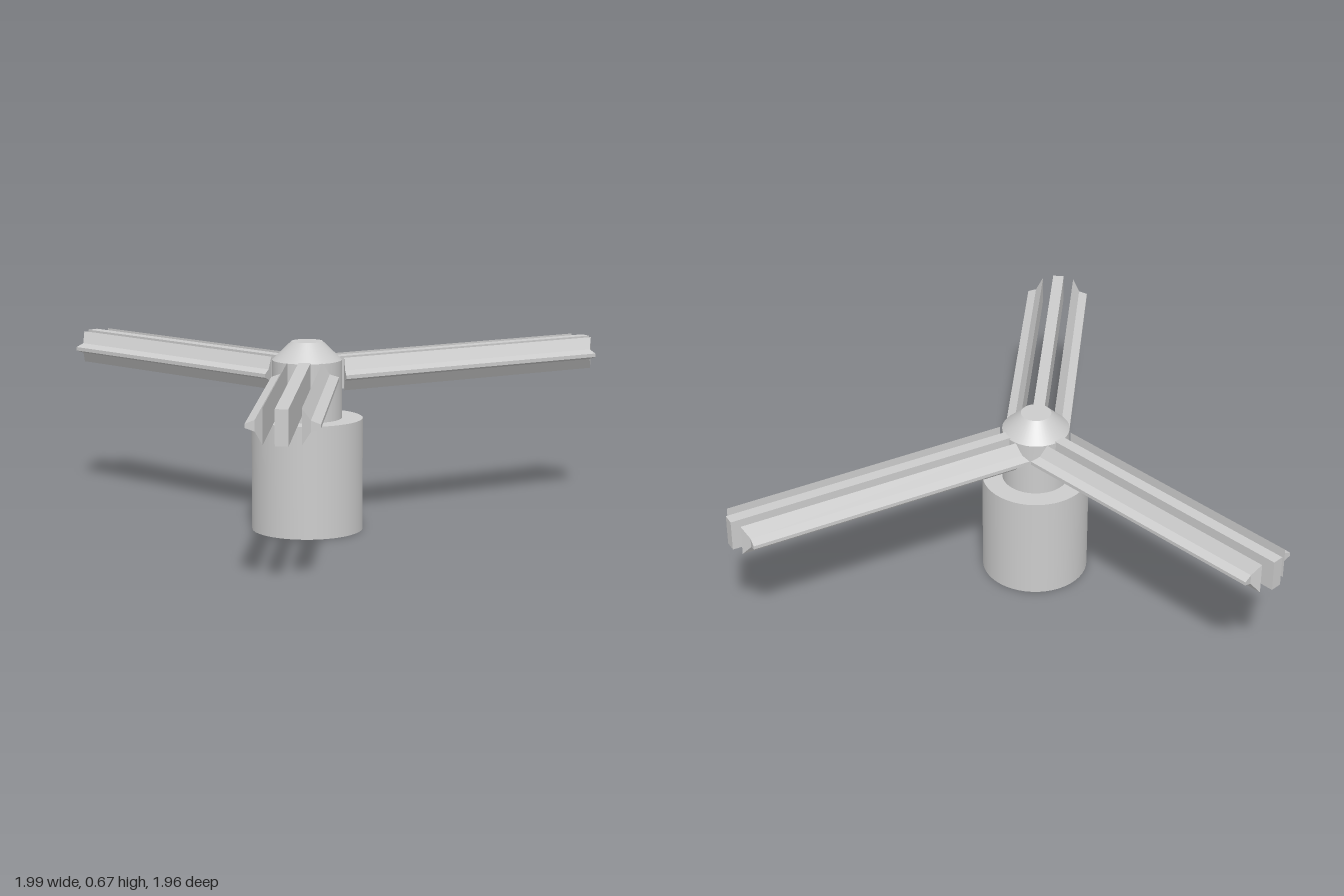
import * as THREE from 'three';

const material = new THREE.MeshStandardMaterial({ color: 0xcccccc });
const flatMaterial = new THREE.MeshStandardMaterial({ color: 0xcccccc, flatShading: true });
const LOW = 0.49, HIGH = 0.605;

// Upright round section between two heights
function drum(name, rTop, rBottom, y0, y1) {
  const mesh = new THREE.Mesh(new THREE.CylinderGeometry(rTop, rBottom, y1 - y0, 48), material);
  mesh.name = name;
  mesh.position.y = (y0 + y1) / 2;
  return mesh;
}

// Finned side rail; its outer ridge is set back towards the hub at both ends
function sideRail(side, length) {
  const inner = 0.06, ridge = 0.117;
  const profile = [
    [inner, LOW], [0.086, 0.528], [ridge, 0.539],
    [ridge, 0.552], [0.086, 0.564], [inner, HIGH],
  ];
  const shape = new THREE.Shape(profile.map(([u, y]) => new THREE.Vector2(side * u, y)));
  const geometry = new THREE.ExtrudeGeometry(shape, { depth: 1, bevelEnabled: false });
  const p = geometry.attributes.position;
  for (let i = 0; i < p.count; i++) {
    const t = (Math.abs(p.getX(i)) - inner) / (ridge - inner);
    const start = 0.115 - 0.025 * t;
    const end = length - 0.02 - 0.05 * Math.min(t, 0.5) + 0.01 * Math.max(t - 0.5, 0);
    p.setZ(i, p.getZ(i) < 0.5 ? start : end);
  }
  geometry.computeVertexNormals();
  const mesh = new THREE.Mesh(geometry, flatMaterial);
  mesh.name = side > 0 ? 'sideRailA' : 'sideRailB';
  return mesh;
}

// Arm of three parallel rails, running out along its own z axis
function arm(name, bearing, length) {
  const group = new THREE.Group();
  group.name = name;
  const start = 0.08;
  const middle = new THREE.Mesh(
    new THREE.BoxGeometry(0.042, HIGH - LOW, length - start), flatMaterial);
  middle.name = 'middleRail';
  middle.position.set(0, (LOW + HIGH) / 2, (length + start) / 2);
  group.add(middle, sideRail(1, length), sideRail(-1, length));
  group.rotation.y = Math.PI - THREE.MathUtils.degToRad(bearing);
  return group;
}

export function createModel() {
  const model = new THREE.Group();
  model.name = 'threeArmedRotor';
  const rotor = new THREE.Group();
  rotor.name = 'rotor';
  rotor.position.set(0.11, 0, 0.215);

  // Base, neck and cap
  rotor.add(
    drum('base', 0.195, 0.195, 0, 0.395),
    drum('neck', 0.122, 0.122, 0.39, 0.6),
    drum('cap', 0.055, 0.122, 0.6, 0.665),
  );

  // Arms, slightly uneven in spacing and length
  [['backArm', 6.3, 1.2], ['leftArm', 130, 1.085], ['rightArm', 259.6, 1.13]]
    .forEach(([name, bearing, length]) => rotor.add(arm(name, bearing, length)));

  model.add(rotor);
  return model;
}
